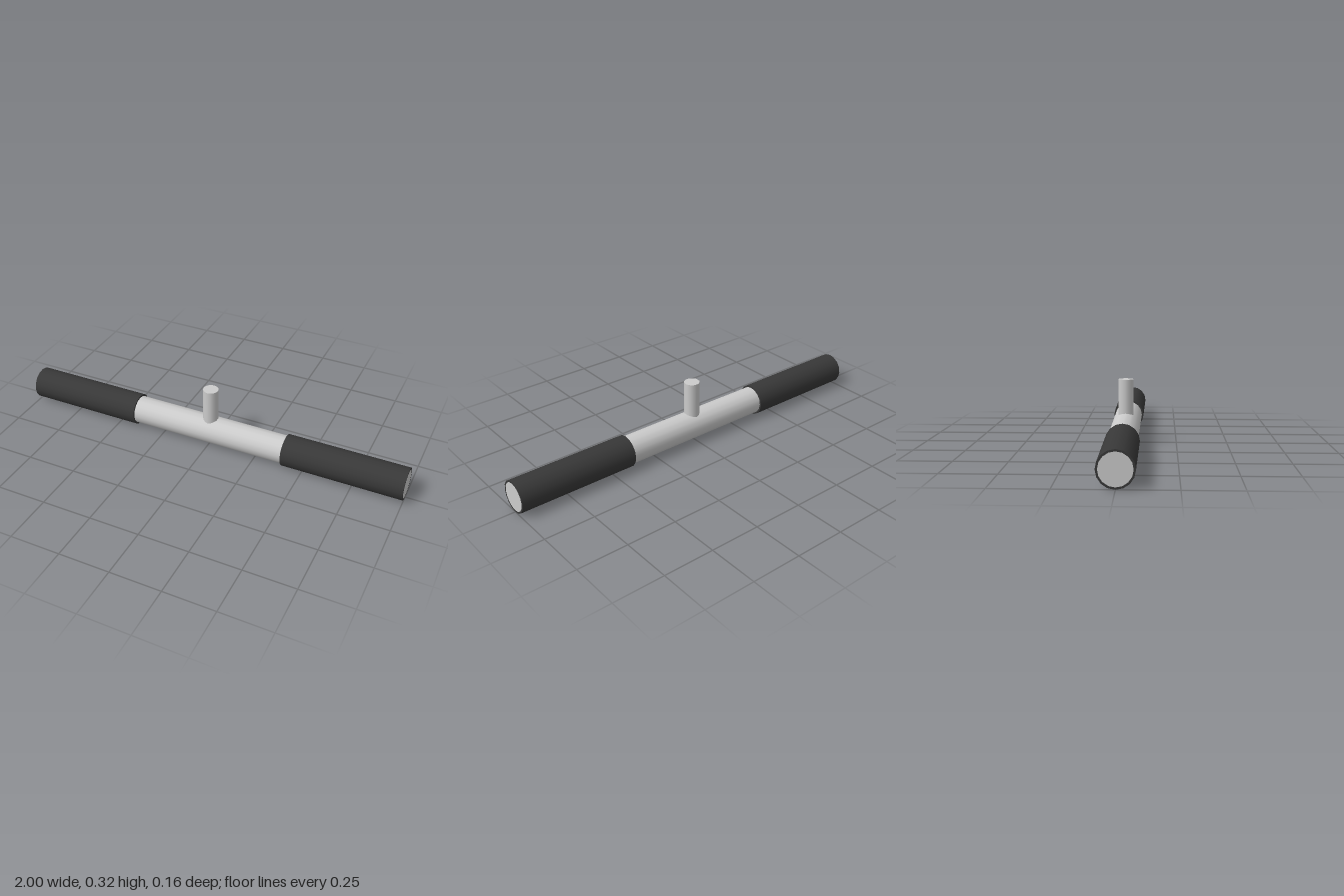
import * as THREE from 'three';
import { mergeGeometries } from 'three/addons/utils/BufferGeometryUtils.js';

const SIDES = 16;
const BAR_R = 0.07, GRIP_R = 0.079, AXIS_Y = 0.079;
const GRIP_IN = 0.4, GRIP_OUT = 1;

export function createModel() {
  const model = new THREE.Group();
  const metal = new THREE.MeshStandardMaterial({ color: 0xcccccc });
  const rubber = new THREE.MeshStandardMaterial({ color: 0x383838 });

  const add = (name, geometry, material, x, y) => {
    const mesh = new THREE.Mesh(geometry, material);
    mesh.name = name;
    mesh.position.set(x, y, 0);
    model.add(mesh);
  };

  // Straight bar running the full width
  add('bar', new THREE.CylinderGeometry(BAR_R, BAR_R, 2 * GRIP_OUT, SIDES).rotateZ(Math.PI / 2), metal, 0, AXIS_Y);

  // Upright stem, rooted on the bar's axis
  const stemTop = 0.316;
  const stemHeight = stemTop - AXIS_Y;
  add('stem', new THREE.CylinderGeometry(0.038, 0.038, stemHeight, SIDES), metal, 0, AXIS_Y + stemHeight / 2);

  // Grip: a sleeve around the bar with a flat rim at each end
  const length = GRIP_OUT - GRIP_IN;
  const rim = (side) => new THREE.RingGeometry(BAR_R, GRIP_R, SIDES)
    .rotateY(side * Math.PI / 2)
    .translate(side * length / 2, 0, 0);
  const grip = mergeGeometries([
    new THREE.CylinderGeometry(GRIP_R, GRIP_R, length, SIDES, 1, true).rotateZ(Math.PI / 2),
    rim(1),
    rim(-1),
  ]);
  for (const [name, side] of [['leftGrip', 1], ['rightGrip', -1]]) {
    add(name, grip, rubber, side * (GRIP_IN + GRIP_OUT) / 2, AXIS_Y);
  }

  return model;
}
